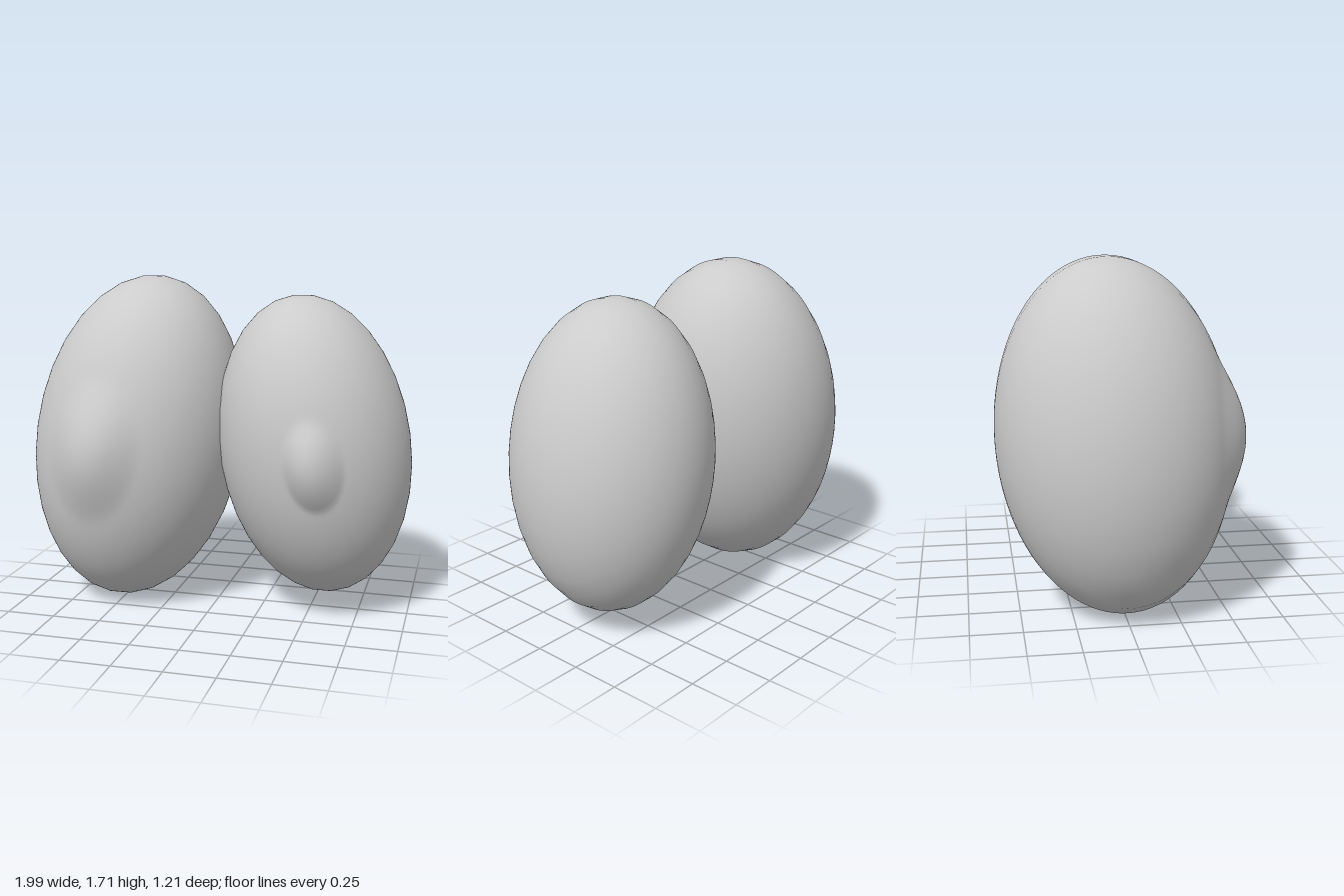
import * as THREE from 'three';
import { mergeVertices } from 'three/addons/utils/BufferGeometryUtils.js';

// Tilted ellipsoid with a raised bulge on its front (+z) side
function makeEye({ name, center, radii, tiltX, tiltZ, bulge }) {
  let geo = new THREE.SphereGeometry(1, 32, 96);
  geo.deleteAttribute('uv');
  geo.deleteAttribute('normal');
  geo.rotateX(Math.PI / 2); // poles face front and back
  geo = mergeVertices(geo, 1e-5);
  geo.scale(...radii);
  geo.rotateX(tiltX);
  geo.rotateZ(tiltZ);
  geo.translate(...center);

  // Push the front surface out inside the bulge's tilted oval
  const pos = geo.attributes.position;
  const c = Math.cos(tiltZ), s = Math.sin(tiltZ);
  for (let i = 0; i < pos.count; i++) {
    if (pos.getZ(i) < 0.1) continue;
    const dx = pos.getX(i) - bulge.x, dy = pos.getY(i) - bulge.y;
    const u = (dx * c + dy * s) / bulge.rx, v = (dy * c - dx * s) / bulge.ry;
    const r2 = u * u + v * v;
    if (r2 < 1) pos.setZ(i, pos.getZ(i) + bulge.height * Math.pow(1 - r2, bulge.softness));
  }
  geo.computeVertexNormals();

  const mesh = new THREE.Mesh(geo, new THREE.MeshStandardMaterial({ color: 0xcccccc, roughness: 0.6 }));
  mesh.name = name;
  return mesh;
}

export function createModel() {
  const group = new THREE.Group();
  group.name = 'eyes';
  group.add(
    // Larger eye with a wide, soft bulge
    makeEye({
      name: 'rightEye', center: [-0.445, 0.857, -0.03], radii: [0.546, 0.864, 0.573],
      tiltX: -0.064, tiltZ: -0.146,
      bulge: { x: -0.52, y: 0.88, rx: 0.26, ry: 0.38, height: 0.065, softness: 1.8 },
    }),
    // Smaller eye with a tight, crisper bulge
    makeEye({
      name: 'leftEye', center: [0.5, 0.86, -0.025], radii: [0.487, 0.776, 0.513],
      tiltX: 0.058, tiltZ: 0.151,
      bulge: { x: 0.575, y: 0.85, rx: 0.14, ry: 0.22, height: 0.06, softness: 1.1 },
    }),
  );
  return group;
}
